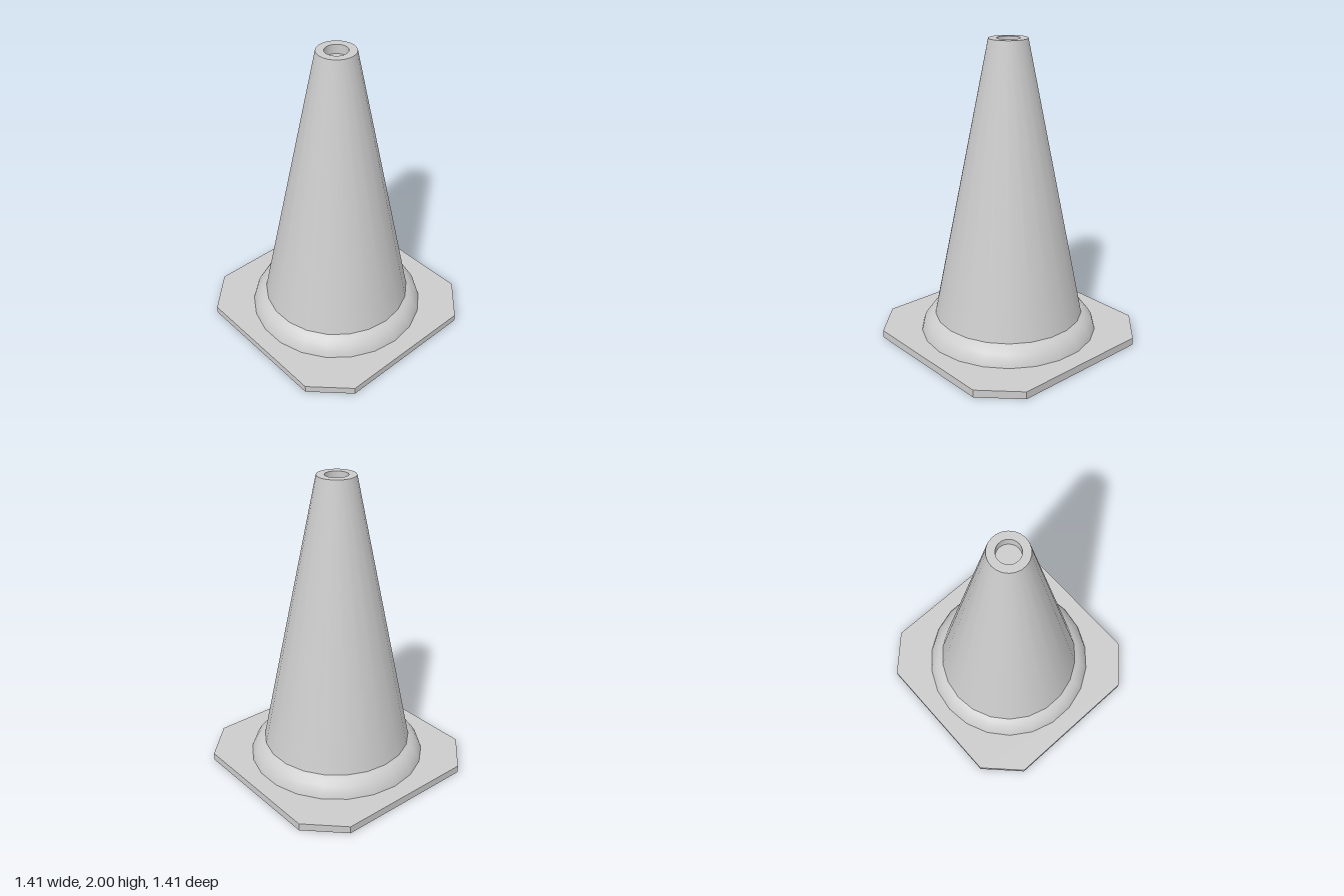
import * as THREE from 'three';

const SIDES = 22;
const material = new THREE.MeshStandardMaterial({ color: 0xcccccc });

function addMesh(group, name, geometry) {
  const mesh = new THREE.Mesh(geometry, material);
  mesh.name = name;
  group.add(mesh);
  return mesh;
}

// Revolved surface from [radius, height] pairs, running up the outside
function lathe(points) {
  return new THREE.LatheGeometry(points.map(([r, y]) => new THREE.Vector2(r, y)), SIDES);
}

export function createModel() {
  const group = new THREE.Group();
  group.name = 'trafficCone';

  // Square base plate with clipped corners
  const half = 0.705, cut = 0.48, thickness = 0.05;
  const outline = new THREE.Shape([
    [cut, -half], [half, -cut], [half, cut], [cut, half],
    [-cut, half], [-half, cut], [-half, -cut], [-cut, -half],
  ].map(([x, y]) => new THREE.Vector2(x, y)));
  const plate = new THREE.ExtrudeGeometry(outline, { depth: thickness, bevelEnabled: false });
  plate.rotateX(-Math.PI / 2);
  addMesh(group, 'basePlate', plate);

  // Rounded collar around the foot of the cone
  addMesh(group, 'collar', lathe([
    [0.59, 0.05], [0.58, 0.085], [0.555, 0.125], [0.525, 0.152], [0.495, 0.17],
  ]));

  // Tapered body
  addMesh(group, 'coneBody', lathe([[0.497, 0.165], [0.125, 2]]));

  // Flat rim, with a recessed hole in the tip
  const holeRadius = 0.074, floorY = 1.94;
  addMesh(group, 'topRim', lathe([[0.125, 2], [holeRadius, 2]]));
  addMesh(group, 'holeWall', lathe([[holeRadius, 2], [holeRadius, floorY]]));
  addMesh(group, 'holeFloor', lathe([[holeRadius, floorY], [0, floorY]]));

  return group;
}
